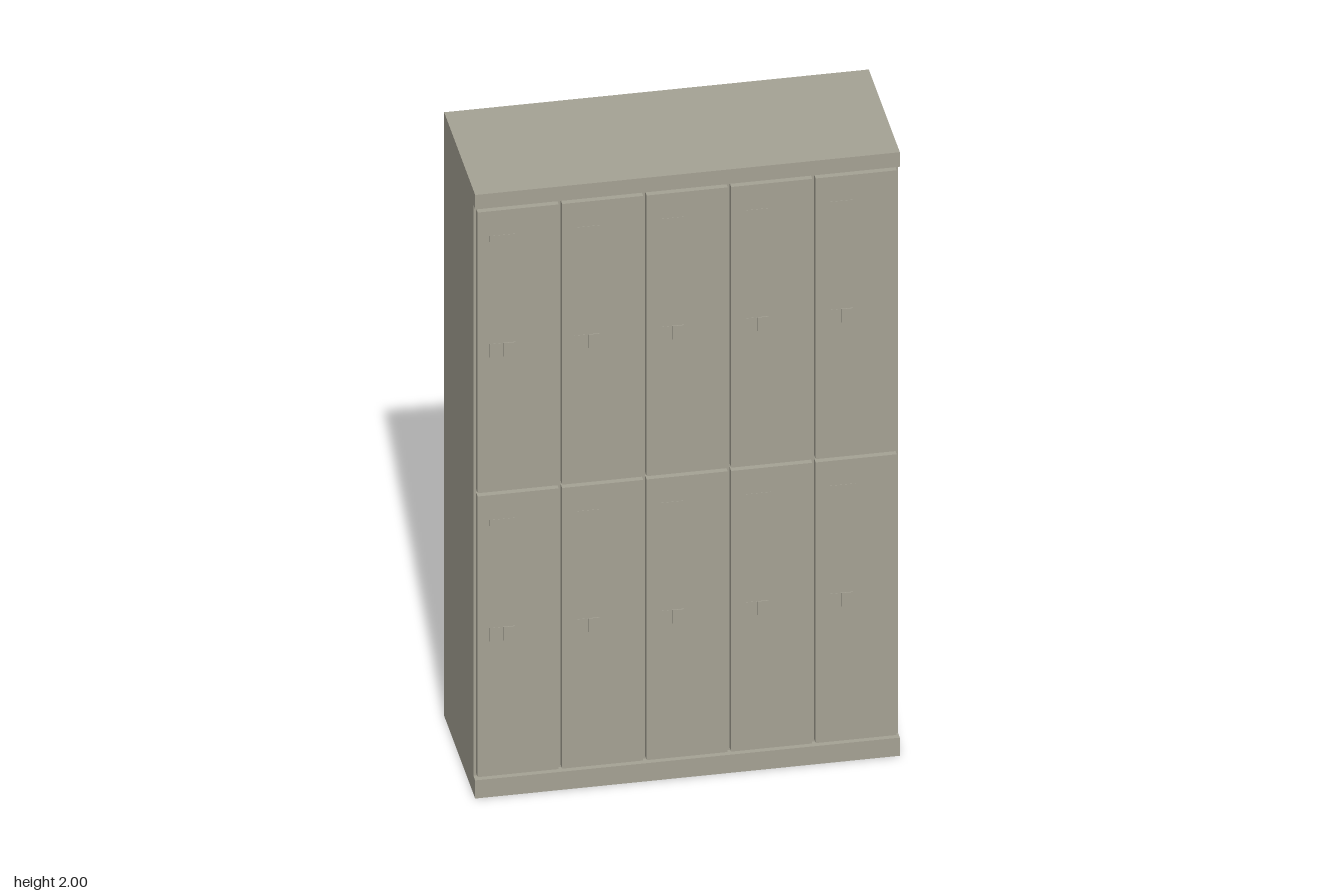
import * as THREE from 'three';

const COLS = 5, PITCH = 0.244, HALF_W = 0.613;
const BACK = -0.232, BODY_FRONT = 0.203, DOOR_FRONT = 0.229;

const metal = new THREE.MeshStandardMaterial({ color: 0xa5a294 });

// Box given by its minimum and maximum corners
function box(name, [x0, y0, z0], [x1, y1, z1]) {
  const mesh = new THREE.Mesh(new THREE.BoxGeometry(x1 - x0, y1 - y0, z1 - z0), metal);
  mesh.position.set((x0 + x1) / 2, (y0 + y1) / 2, (z0 + z1) / 2);
  mesh.name = name;
  return mesh;
}

// One locker door; its origin is the bottom centre of the panel
function createDoor() {
  const door = new THREE.Group();
  door.name = 'door';
  door.add(
    box('doorPanel', [-0.117, 0, BODY_FRONT], [0.117, 0.93, DOOR_FRONT]),
    box('labelPlate', [-0.082, 0.828, DOOR_FRONT - 0.002], [-0.002, 0.848, DOOR_FRONT + 0.001]),
    box('latchPlate', [-0.082, 0.445, DOOR_FRONT - 0.002], [-0.002, 0.49, DOOR_FRONT + 0.001]),
    box('latchHandle', [-0.042, 0.445, DOOR_FRONT - 0.002], [-0.01, 0.49, DOOR_FRONT + 0.003]),
  );
  return door;
}

export function createModel() {
  const lockers = new THREE.Group();
  lockers.name = 'lockers';

  // Cabinet body with the top rail and plinth standing proud of it
  lockers.add(
    box('cabinet', [-HALF_W, 0, BACK], [HALF_W, 2, BODY_FRONT]),
    box('topRail', [-HALF_W, 1.952, BODY_FRONT], [HALF_W, 2, DOOR_FRONT]),
    box('plinth', [-HALF_W, 0, BODY_FRONT], [HALF_W, 0.06, DOOR_FRONT]),
  );

  // Two rows of doors
  for (const y of [0.07, 1.011]) {
    for (let i = 0; i < COLS; i++) {
      const door = createDoor();
      door.position.set((i - (COLS - 1) / 2) * PITCH - 0.001, y, 0);
      lockers.add(door);
    }
  }
  return lockers;
}
